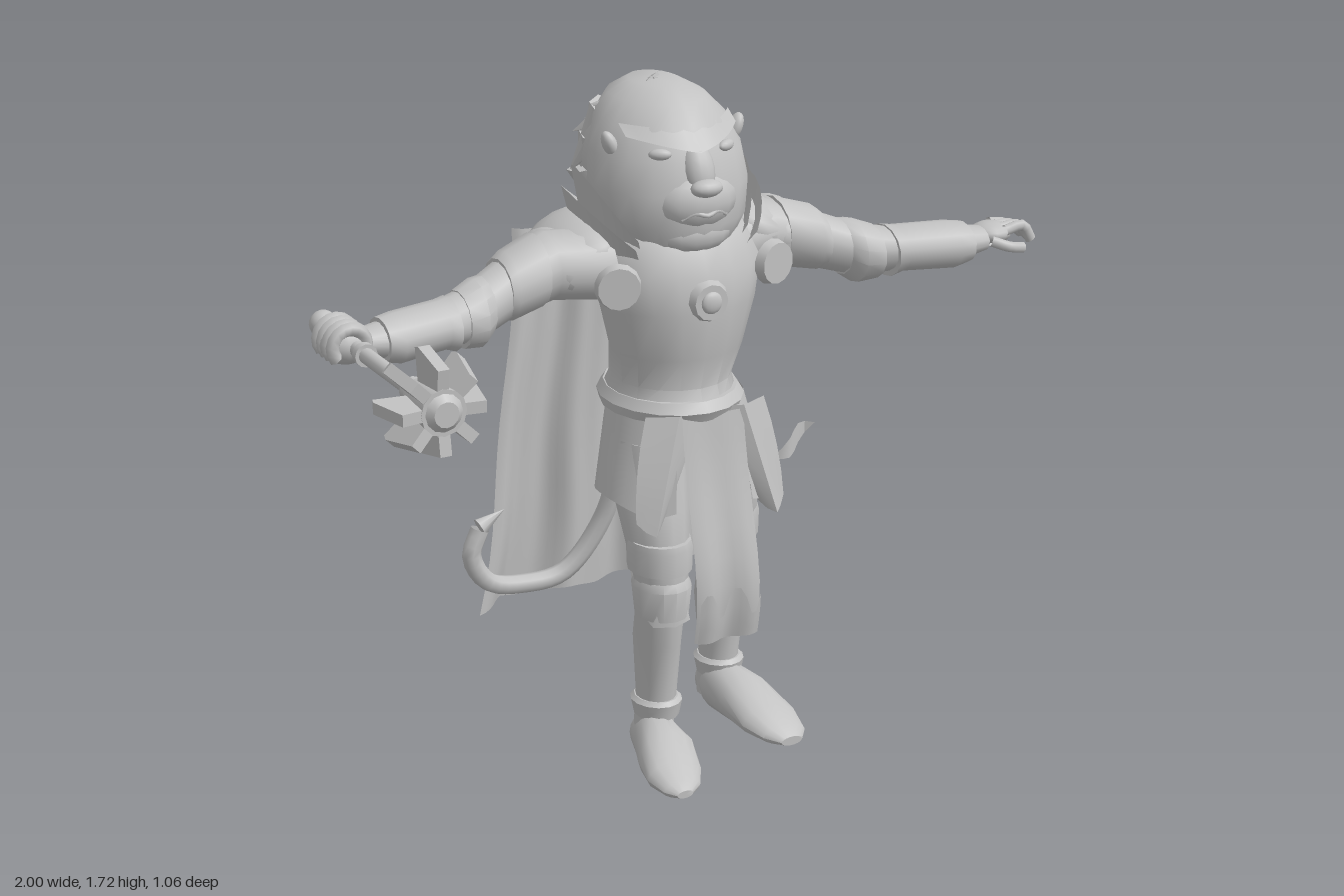
import * as THREE from 'three';
import { toCreasedNormals } from 'three/addons/utils/BufferGeometryUtils.js';

const { sin, cos, PI, abs, max } = Math;

export function createModel() {
  const model = new THREE.Group();
  const grey = new THREE.MeshStandardMaterial({ color: 0xc2c2c2, side: THREE.DoubleSide });
  grey.name = 'plain grey';

  const add = (name, geo, pos = [0, 0, 0], rot = [0, 0, 0], scale = [1, 1, 1], parent = model) => {
    const mesh = new THREE.Mesh(geo, grey);
    mesh.name = name;
    mesh.position.set(...pos);
    mesh.rotation.set(...rot);
    mesh.scale.set(...scale);
    parent.add(mesh);
    return mesh;
  };

  // Surface from a rule f(u, v) -> [x, y, z]
  const sheet = (f, nu, nv) => {
    const p = [], idx = [], w = nu + 1;
    for (let j = 0; j <= nv; j++) for (let i = 0; i <= nu; i++) p.push(...f(i / nu, j / nv));
    for (let j = 0; j < nv; j++) for (let i = 0; i < nu; i++) {
      const a = j * w + i;
      idx.push(a, a + 1, a + w + 1, a, a + w + 1, a + w);
    }
    const g = new THREE.BufferGeometry();
    g.setAttribute('position', new THREE.Float32BufferAttribute(p, 3));
    g.setIndex(idx);
    return toCreasedNormals(g, 0.7);
  };

  // Closed body from ascending elliptical sections along an axis.
  // x rows: [x, y, z, ry, rz]; y rows: [y, x, z, rx, rz]; z rows: [z, x, y, rx, ry]
  const loft = (axis, rows, n = 14) => {
    const first = rows[0], last = rows[rows.length - 1];
    const all = [[...first.slice(0, 3), 0, 0], ...rows, [...last.slice(0, 3), 0, 0]];
    return sheet((u, v) => {
      const [t, a, b, ra, rb] = all[Math.round(v * (all.length - 1))];
      const k = u * 2 * PI;
      if (axis === 'x') return [t, a + ra * cos(k), b + rb * sin(k)];
      if (axis === 'y') return [a + ra * sin(k), t, b + rb * cos(k)];
      return [a + ra * cos(k), b + rb * sin(k), t];
    }, n, all.length - 1);
  };
  const ball = new THREE.SphereGeometry(1, 14, 10);
  const blob = (name, pos, size, rot) => add(name, ball, pos, rot, size);
  const tube = (name, pts, r, n = 20) => add(name, new THREE.TubeGeometry(
    new THREE.CatmullRomCurve3(pts.map(p => new THREE.Vector3(...p))), n, r, 8));

  // Torso, pelvis and belt
  add('breastplate', loft('y', [[0.95, 0.015, -0.12, 0.165, 0.185], [1.0, 0.02, -0.12, 0.15, 0.16],
    [1.08, 0.025, -0.1, 0.168, 0.155], [1.2, 0.028, -0.1, 0.2, 0.17], [1.29, 0.03, -0.11, 0.22, 0.17],
    [1.37, 0.03, -0.13, 0.19, 0.15], [1.42, 0.03, -0.14, 0.11, 0.11]], 18));
  add('pelvis', loft('y', [[0.76, 0.04, -0.09, 0.12, 0.1], [0.86, 0.03, -0.1, 0.155, 0.14], [0.96, 0.02, -0.12, 0.155, 0.16]]));
  add('belt', loft('y', [[0.925, 0.02, -0.12, 0.172, 0.19], [0.95, 0.02, -0.12, 0.178, 0.203], [0.975, 0.02, -0.12, 0.162, 0.185]], 18));
  add('chestEmblem', new THREE.CylinderGeometry(0.045, 0.055, 0.02, 12), [0.03, 1.23, 0.067], [PI / 2, 0, 0]);
  blob('emblemBoss', [0.03, 1.23, 0.077], [0.028, 0.028, 0.012]);

  // Hip skirt with a front opening and scalloped hem
  add('hipSkirt', sheet((u, v) => {
    const k = 0.5 + u * (2 * PI - 1), hem = v * (0.265 - 0.035 * abs(cos(k * 2)));
    return [0.035 + (0.165 + 0.06 * v) * sin(k), 0.95 - hem, -0.12 + 0.035 * v + (0.185 + 0.01 * v) * cos(k)];
  }, 24, 3));
  // Pointed front plates over the thighs
  for (const s of [-1, 1]) add('thighPlate', sheet((u, v) => [
    0.035 + s * (0.09 + 0.08 * v + (u - 0.5) * 0.15 * (1 - 0.5 * v * v)),
    0.95 - v * 0.26 - 0.03 * v * sin(u * PI), 0.07 + 0.03 * v - 0.07 * abs(u - 0.5)], 4, 4));
  // Front cloth swinging forward over the knees, with a folded lower end
  const clothZ = v => 0.065 + 0.05 * v + 0.03 * sin(v * v * PI);
  add('loincloth', sheet((u, v) => [0.04 + 0.012 * v + (u - 0.5) * (0.17 + 0.01 * v),
    0.94 - 0.58 * v, clothZ(v) + 0.01 * sin(u * PI * 3) * v], 8, 8));
  add('clothPoints', sheet((u, v) => {
    const rise = v * (0.04 + 0.1 * abs(sin(u * PI * 2 + 0.8)));
    return [0.052 + (u - 0.5) * 0.17, 0.36 + rise, clothZ(1 - rise / 0.58) + 0.008 + 0.009 * sin(u * PI * 3)];
  }, 12, 3));

  // Legs: sections follow a forward right leg and a rear left leg
  const leg = (side, rows, boot) => {
    add(side + 'Leg', loft('y', rows));
    add(side + 'Boot', loft('z', boot));
    const [, ankle, , knee, thigh] = rows;
    const ring = (name, [y, x, z, rx, rz], h, flare) => add(name, loft('y', [
      [y - h, x, z, rx + 0.006, rz + 0.006], [y + h * 0.6, x, z, rx + flare, rz + flare], [y + h, x, z, rx + 0.004, rz + 0.004]]));
    ring(side + 'AnkleCuff', [ankle[0] - 0.04, ...ankle.slice(1)], 0.025, 0.014);
    ring(side + 'GreaveTop', knee, 0.05, 0.014);
    ring(side + 'ThighBand', [thigh[0] + 0.02, ...thigh.slice(1)], 0.04, 0.008);
    // Pointed knee guard with a fan behind
    add(side + 'KneeGuard', new THREE.ConeGeometry(0.06, 0.18, 6), [knee[1], knee[0] + 0.03, knee[2] + knee[4] - 0.015], [0.2, 0, 0], [1, 1, 0.6]);
    add(side + 'KneeFan', loft('y', [[knee[0] - 0.02, knee[1], knee[2] - knee[4] + 0.01, 0.045, 0.02],
      [knee[0] + 0.11, knee[1], knee[2] - knee[4] - 0.01, 0.055, 0.028]], 8));
  };
  leg('left', [[0.08, 0.17, -0.15, 0.05, 0.055], [0.2, 0.18, -0.155, 0.05, 0.058], [0.34, 0.185, -0.16, 0.056, 0.09],
    [0.47, 0.195, -0.15, 0.06, 0.08], [0.56, 0.185, -0.125, 0.07, 0.09], [0.7, 0.16, -0.11, 0.09, 0.11], [0.86, 0.12, -0.1, 0.09, 0.12]],
  [[-0.2, 0.17, 0.1, 0.035, 0.045], [-0.13, 0.175, 0.105, 0.06, 0.07], [-0.03, 0.19, 0.1, 0.075, 0.063],
    [0.07, 0.205, 0.077, 0.078, 0.04], [0.13, 0.215, 0.062, 0.06, 0.025], [0.16, 0.22, 0.053, 0.03, 0.012]]);
  leg('right', [[0.06, -0.09, -0.01, 0.048, 0.055], [0.2, -0.08, -0.01, 0.05, 0.06], [0.34, -0.08, -0.005, 0.054, 0.08],
    [0.47, -0.08, 0.02, 0.06, 0.07], [0.56, -0.08, 0.01, 0.073, 0.085], [0.7, -0.075, -0.04, 0.09, 0.11], [0.86, -0.06, -0.09, 0.09, 0.12]],
  [[-0.07, -0.09, 0.06, 0.035, 0.045], [0.02, -0.1, 0.078, 0.06, 0.07], [0.12, -0.12, 0.077, 0.08, 0.06],
    [0.2, -0.14, 0.062, 0.075, 0.038], [0.26, -0.15, 0.052, 0.05, 0.022], [0.285, -0.155, 0.048, 0.022, 0.01]]);

  // Arms with shoulder plates, mirrored
  for (const s of [-1, 1]) {
    const side = s > 0 ? 'left' : 'right', cx = 0.03;
    const along = (name, rows) => add(side + name, loft('x', s > 0 ? rows : rows.map(([x, ...r]) => [-x, ...r]).reverse()));
    along('Arm', [[0.16, 1.3, -0.14, 0.09, 0.1], [0.3, 1.31, -0.16, 0.085, 0.1], [0.42, 1.28, -0.13, 0.075, 0.08],
      [0.53, 1.245, -0.09, 0.068, 0.078], [0.62, 1.245, -0.055, 0.054, 0.072], [0.74, 1.245, -0.015, 0.053, 0.068], [0.85, 1.25, -0.005, 0.032, 0.048]]);
    along('UpperArmPlate', [[0.33, 1.305, -0.155, 0.09, 0.1], [0.42, 1.285, -0.13, 0.085, 0.09], [0.44, 1.28, -0.125, 0.075, 0.085]]);
    along('ElbowPlate', [[0.49, 1.255, -0.105, 0.072, 0.08], [0.52, 1.245, -0.09, 0.083, 0.09], [0.57, 1.24, -0.075, 0.07, 0.08]]);
    along('Bracer', [[0.6, 1.24, -0.06, 0.066, 0.083], [0.63, 1.245, -0.05, 0.058, 0.078], [0.76, 1.245, -0.015, 0.06, 0.076], [0.8, 1.248, -0.008, 0.052, 0.068]]);
    blob(side + 'Pauldron', [cx + s * 0.23, 1.33, -0.205], [0.135, 0.08, 0.15], [0, 0, -s * 0.45]);
    blob(side + 'ShoulderLame', [cx + s * 0.3, 1.305, -0.18], [0.08, 0.085, 0.125], [0, 0, -s * 0.4]);
    add(side + 'ShoulderDisc', new THREE.CylinderGeometry(0.052, 0.058, 0.025, 14), [cx + s * 0.215, 1.28, 0.005], [PI / 2, 0, -s * 0.3]);
    // Standing neck guard rising to a point beside the head
    for (const [k, grow] of [[1, 0], [0.72, 0.025]]) add(side + 'NeckGuard', sheet((u, v) => {
      const a = 0.75 + u * 2, r = 0.19 + grow + 0.03 * v;
      return [cx + s * r * sin(a), 1.33 + v * k * (0.05 + 0.145 * sin(u * PI)), -0.18 + (r + 0.005) * cos(a)];
    }, 12, 4));
  }

  // Open left hand
  blob('leftPalm', [0.885, 1.26, -0.008], [0.055, 0.028, 0.052]);
  for (let i = 0; i < 4; i++) {
    const z = 0.035 - i * 0.026, tip = 0.992 - 0.012 * abs(i - 1.5);
    tube('leftFinger', [[0.9, 1.272, z], [0.95, 1.28 - 0.006 * i, z * 1.1], [tip, 1.242, z * 1.15]], 0.0145, 6);
  }
  tube('leftThumb', [[0.86, 1.25, 0.035], [0.9, 1.235, 0.055], [0.945, 1.225, 0.05]], 0.014, 6);

  // Right fist around the shaft
  blob('rightFist', [-0.885, 1.255, -0.008], [0.065, 0.05, 0.058]);
  for (let i = 0; i < 4; i++)
    add('rightFinger', new THREE.TorusGeometry(0.042, 0.017, 6, 12, 4.6), [-0.895, 1.26, -0.05 + i * 0.029], [0, 0, -0.8]);

  // Flanged mace pointing forward
  const mace = new THREE.Group();
  mace.name = 'mace';
  mace.position.set(-0.88, 1.255, 0);
  model.add(mace);
  const rod = (name, r0, r1, z0, z1) => add(name, new THREE.CylinderGeometry(r1, r0, z1 - z0, 12),
    [0, 0, (z0 + z1) / 2], [PI / 2, 0, 0], [1, 1, 1], mace);
  rod('shaft', 0.019, 0.019, -0.15, 0.42);
  rod('gripCollar', 0.028, 0.028, 0.08, 0.1);
  rod('headCollar', 0.032, 0.032, 0.355, 0.39);
  rod('headCore', 0.045, 0.055, 0.4, 0.525);
  rod('headCap', 0.045, 0.03, 0.525, 0.54);
  add('pommel', ball, [0, 0, -0.155], [0, 0, 0], [0.034, 0.034, 0.034], mace);
  const flange = new THREE.ExtrudeGeometry(new THREE.Shape([[0.03, 0.42], [0.118, 0.408], [0.124, 0.425], [0.1, 0.53], [0.03, 0.52]]
    .map(p => new THREE.Vector2(...p))), { depth: 0.028, bevelEnabled: false }).translate(0, 0, -0.014).rotateX(PI / 2);
  for (let i = 0; i < 8; i++) add('flange', flange, [0, 0, 0], [0, 0, i * PI / 4], [1, 1, 1], mace);

  // Head and face
  add('head', loft('y', [[1.3, 0.03, -0.11, 0.07, 0.09], [1.335, 0.03, -0.12, 0.135, 0.145], [1.41, 0.03, -0.135, 0.185, 0.18],
    [1.49, 0.03, -0.15, 0.2, 0.19], [1.57, 0.03, -0.165, 0.19, 0.18], [1.64, 0.03, -0.19, 0.16, 0.175],
    [1.69, 0.03, -0.205, 0.115, 0.145], [1.72, 0.03, -0.215, 0.06, 0.085]], 20));
  blob('muzzle', [0.03, 1.465, -0.015], [0.11, 0.08, 0.074]);
  blob('noseBridge', [0.03, 1.545, 0.005], [0.042, 0.07, 0.038], [-0.35, 0, 0]);
  blob('noseTip', [0.03, 1.51, 0.05], [0.042, 0.022, 0.028]);
  blob('chin', [0.03, 1.385, -0.01], [0.095, 0.055, 0.052]);
  tube('mouth', [[-0.03, 1.435, 0.035], [0, 1.45, 0.048], [0.03, 1.443, 0.056], [0.06, 1.45, 0.048], [0.09, 1.435, 0.035]], 0.006, 12);
  for (const s of [-1, 1]) {
    // Flat brow plate sweeping from the nose to the temple
    add('brow', sheet((u, v) => [0.03 + s * (0.15 * u), 1.59 + 0.035 * u + v * 0.05 * (1 - u * 0.5),
      0.022 - 0.1 * u * u - 0.04 * v], 6, 2));
    blob('eye', [0.03 + s * 0.09, 1.588, -0.018], [0.028, 0.014, 0.014], [0, s * 0.5, 0]);
    blob('ear', [0.03 + s * 0.172, 1.6, -0.12], [0.018, 0.035, 0.022], [0, 0, -s * 0.4]);
  }

  // Swept-back hair: a rounded mass covered in large overlapping locks
  blob('hairMass', [0.03, 1.53, -0.22], [0.18, 0.185, 0.17]);
  const lock = new THREE.ConeGeometry(0.06, 0.17, 6);
  const up = new THREE.Vector3(0, 1, 0);
  for (let r = 0; r < 5; r++) for (let i = 0; i < 6; i++) {
    const lat = 1.1 - r * 0.42, lon = (i - 2.5 + (r % 2) * 0.3) * 0.42;
    const n = new THREE.Vector3(sin(lon) * cos(lat), sin(lat), -cos(lon) * cos(lat));
    const down = new THREE.Vector3(sin(lon) * sin(lat), -cos(lat), -cos(lon) * sin(lat));
    const m = add('hairLock', lock, [0.03 + n.x * 0.165, 1.51 + n.y * 0.165, -0.215 + n.z * 0.165]);
    m.quaternion.setFromUnitVectors(up, down.addScaledVector(n, 0.45 + 0.2 * sin(i * 5 + r * 3)).normalize());
  }

  // Cape with soft folds deepening towards the hem
  add('cape', sheet((u, v) => [0.02 + (u - 0.5) * (0.55 + 0.07 * v + 0.18 * v * v) + 0.008 * sin(v * 9),
    1.32 - 1.02 * v - 0.02 * (1 - v) * sin(u * PI) + 0.008 * v * sin(u * 23),
    -0.425 - 0.06 * v + 0.03 * (u - 0.5) + 0.06 * v * max(0, 1 - u * 8)
      + (0.008 + 0.018 * v) * sin(u * 19 + v) + 0.005 * sin(u * 43)], 48, 14));
  for (const s of [-1, 1]) add('capeStrap', sheet((u, v) => [0.03 + s * (0.18 + 0.07 * u),
    1.3 - 0.15 * u * v + 0.02 * u, -0.28 - 0.14 * v], 3, 4));

  // Tail curling beside the cape hem
  tube('tail', [[0.02, 0.92, -0.29], [0, 0.75, -0.33], [-0.04, 0.52, -0.38], [-0.14, 0.38, -0.41], [-0.25, 0.365, -0.42],
    [-0.35, 0.39, -0.42], [-0.395, 0.47, -0.42], [-0.37, 0.54, -0.42]], 0.025, 40);
  add('tailTip', new THREE.ConeGeometry(0.024, 0.08, 8), [-0.335, 0.563, -0.42], [0, 0, -1.1]);
  // Loose ribbon at the left hip
  add('hipRibbon', sheet((u, v) => [0.29 + 0.13 * u, 0.73 + 0.07 * u + (v - 0.5) * 0.06 * sin(u * PI), -0.08 + 0.02 * sin(u * 6)], 6, 2));

  return model;
}
